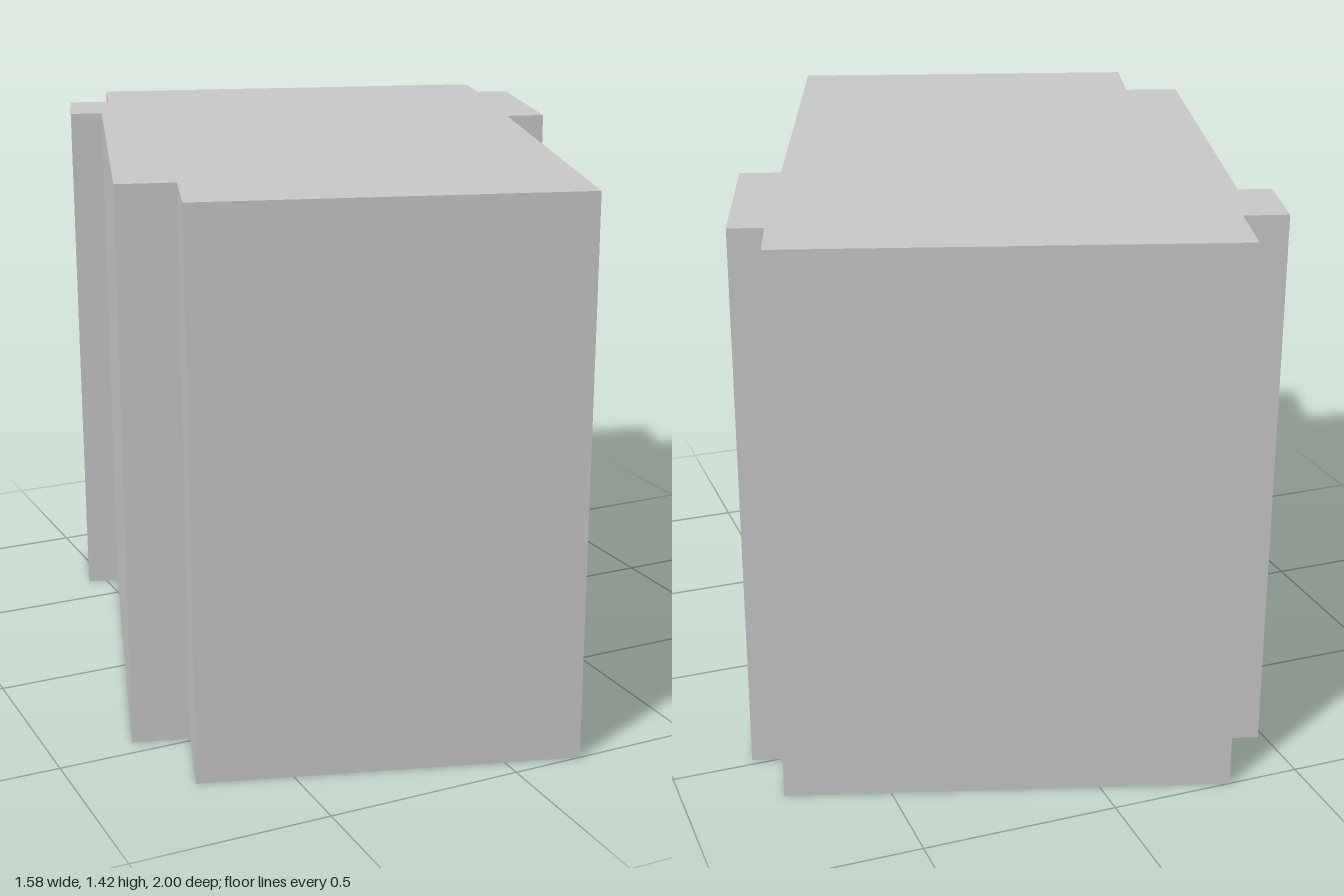
import * as THREE from 'three';

const HEIGHT = 1.425;

// Footprint corners as [x, z], clockwise seen from above
const FOOTPRINT = [
  [-0.314, -1.0], [0.755, -0.668],                                   // back
  [0.706, -0.507], [0.79, -0.481], [0.647, -0.025], [0.547, -0.055], // +x side bay
  [0.182, 1.0], [-0.728, 0.717],                                     // front
  [-0.653, 0.489], [-0.794, 0.446],                                  // front corner step
  [-0.468, -0.592], [-0.55, -0.617], [-0.484, -0.829], [-0.376, -0.798], // -x side bay
];

export function createModel() {
  const group = new THREE.Group();
  group.name = 'building';
  const material = new THREE.MeshStandardMaterial({ color: 0xcccccc, side: THREE.DoubleSide });

  // Flat roof
  const outline = new THREE.Shape(FOOTPRINT.map(([x, z]) => new THREE.Vector2(x, -z)));
  const roof = new THREE.Mesh(new THREE.ShapeGeometry(outline).rotateX(-Math.PI / 2), material);
  roof.name = 'roof';
  roof.position.y = HEIGHT;
  group.add(roof);

  // One upright panel per footprint edge; the underside stays open
  const walls = new THREE.Group();
  walls.name = 'walls';
  FOOTPRINT.forEach(([ax, az], i) => {
    const [bx, bz] = FOOTPRINT[(i + 1) % FOOTPRINT.length];
    const length = Math.hypot(bx - ax, bz - az);
    const wall = new THREE.Mesh(new THREE.PlaneGeometry(length, HEIGHT), material);
    wall.name = `wall${i + 1}`;
    wall.position.set((ax + bx) / 2, HEIGHT / 2, (az + bz) / 2);
    wall.rotation.y = Math.atan2(bz - az, ax - bx);
    walls.add(wall);
  });
  group.add(walls);

  return group;
}
